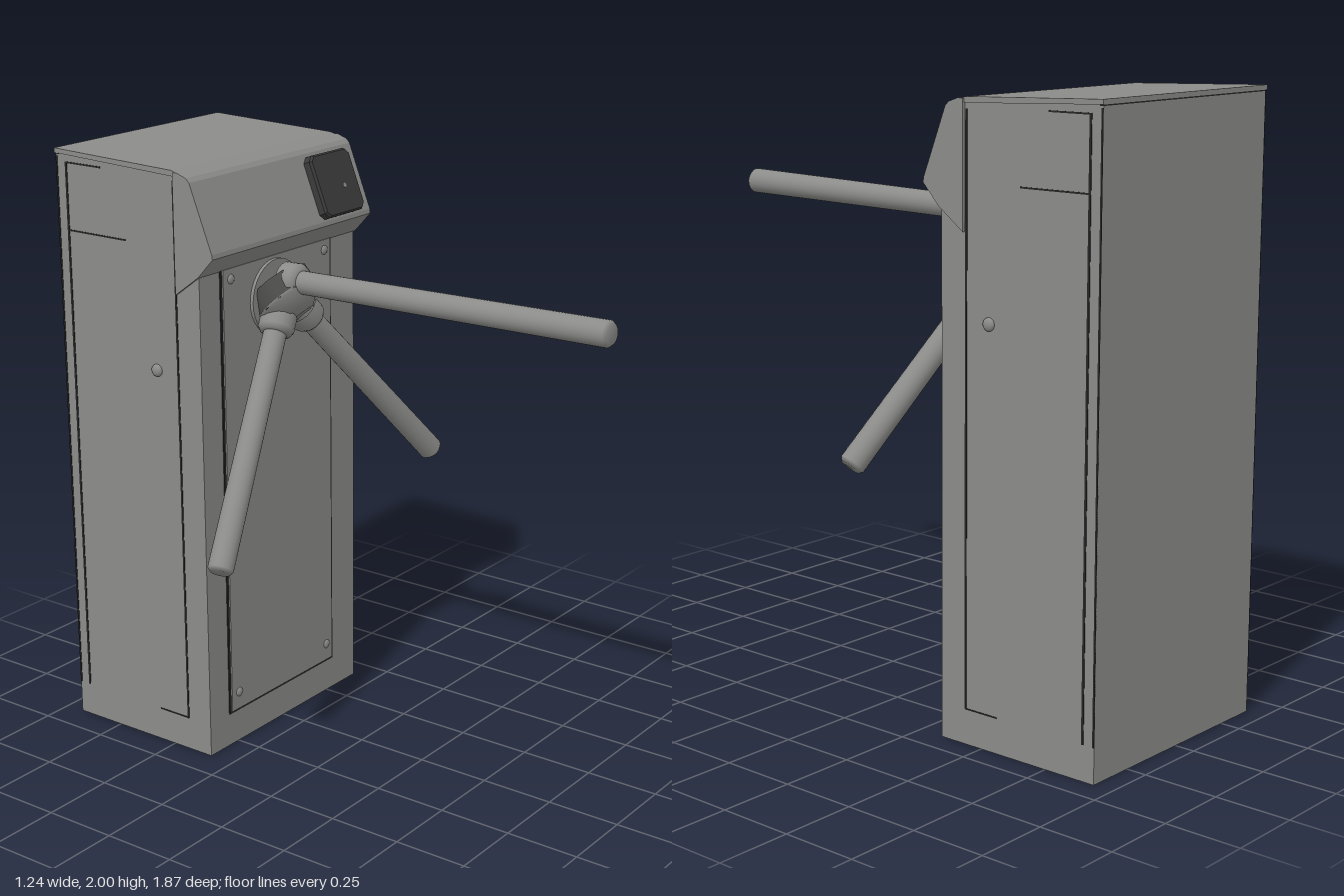
import * as THREE from 'three';

const mat = (name, color) => Object.assign(new THREE.MeshStandardMaterial({ color }), { name });

export function createModel() {
  const root = new THREE.Group();
  const grey = mat('steel grey', 0x8b8b89);
  const dark = mat('dark hub grey', 0x4c4c4b);
  const black = mat('reader black', 0x3a3a3a);
  const seam = mat('seam black', 0x262626);

  const add = (name, geo, material, parent = root) => {
    const m = new THREE.Mesh(geo, material);
    m.name = name;
    parent.add(m);
    return m;
  };
  const box = (name, x0, x1, y0, y1, z0, z1, material) =>
    add(name, new THREE.BoxGeometry(x1 - x0, y1 - y0, z1 - z0), material)
      .position.set((x0 + x1) / 2, (y0 + y1) / 2, (z0 + z1) / 2);
  // Side profile of [z, y] points, extruded from x0 to x1
  const profile = (name, pts, x0, x1, material) => {
    const shape = new THREE.Shape(pts.map(([z, y]) => new THREE.Vector2(z, y)));
    const geo = new THREE.ExtrudeGeometry(shape, { depth: x1 - x0, bevelEnabled: false });
    geo.rotateY(-Math.PI / 2).translate(x1, 0, 0);
    return add(name, geo, material);
  };
  const Y = new THREE.Vector3(0, 1, 0);

  // Cabinet with a slightly rising lid
  profile('cabinet', [[-0.932, 0], [-0.34, 0], [-0.34, 1.75], [-0.42, 1.97], [-0.932, 1.985]], -0.395, 0.415, grey);
  profile('lid', [[-0.935, 1.985], [-0.40, 1.965], [-0.41, 1.978], [-0.44, 1.985], [-0.935, 2.0]], -0.4, 0.42, grey);
  box('lidSeam', -0.397, 0.417, 1.981, 1.986, -0.934, -0.92, seam);

  // Overhanging hood with sloping face
  profile('hood', [[-0.43, 1.59], [-0.335, 1.66], [-0.275, 1.725], [-0.277, 1.74],
    [-0.362, 1.955], [-0.375, 1.968], [-0.41, 1.98], [-0.43, 1.98]], -0.405, 0.425, grey);

  // Front panel with a dark gap around it, and four bolts
  box('panelGap', -0.297, 0.282, 0.115, 1.665, -0.342, -0.337, seam);
  box('frontPanel', -0.288, 0.273, 0.124, 1.66, -0.342, -0.332, grey);
  for (const x of [-0.25, 0.24]) for (const y of [0.185, 1.625]) {
    const bolt = add('panelBolt', new THREE.SphereGeometry(0.016, 12, 8), grey);
    bolt.scale.z = 0.5;
    bolt.position.set(x, y, -0.332);
  }

  // Side door seams, handle slots and locks
  for (const [x, s] of [[0.415, 1], [-0.395, -1]]) {
    const strip = (name, y0, y1, z0, z1) => box(name, x - 0.002, x + 0.002, y0, y1, z0, z1, seam);
    strip('frontSeam', 0.115, 1.95, -0.44, -0.433);
    strip('rearSeam', 0.115, 1.96, -0.893, -0.885);
    strip('rearEdgeSeam', 0.115, 1.975, -0.932, -0.926);
    strip('baseSeam', 0.113, 0.117, -0.56, -0.435);
    strip('sideSlot', 1.733, 1.738, -0.885, -0.64);
    strip('topSeam', 1.955, 1.96, -0.89, -0.74);
    const lock = add('sideLock', new THREE.SphereGeometry(0.021, 16, 12), grey);
    lock.scale.x = 0.6;
    lock.position.set(x + 0.002 * s, 1.325, -0.525);
  }

  // Card reader lying on the sloping face
  const reader = new THREE.Group();
  reader.name = 'cardReader';
  reader.position.set(0.263, 1.848, -0.31);
  reader.rotation.x = -Math.atan2(0.085, 0.215);
  root.add(reader);
  const r = 0.1, c = 0.015, plate = new THREE.Shape();
  plate.moveTo(-r + c, -r).lineTo(r - c, -r).lineTo(r, -r + c).lineTo(r, r - c)
    .lineTo(r - c, r).lineTo(-r + c, r).lineTo(-r, r - c).lineTo(-r, -r + c).closePath();
  const plateGeo = new THREE.ExtrudeGeometry(plate, {
    depth: 0.03, bevelThickness: 0.008, bevelSize: 0.006, bevelSegments: 1,
  });
  plateGeo.translate(0, 0, -0.015);
  add('readerBody', plateGeo, black);
  add('readerLight', new THREE.CylinderGeometry(0.008, 0.008, 0.004, 12).rotateX(Math.PI / 2), grey, reader)
    .position.set(0.025, -0.015, 0.024);
  reader.add(root.getObjectByName('readerBody'));

  // Mounting disc and tilted hub
  add('mountDisc', new THREE.CylinderGeometry(0.125, 0.125, 0.03, 32).rotateX(Math.PI / 2), grey)
    .position.set(-0.03, 1.525, -0.335);
  const hub = new THREE.Group();
  hub.name = 'hub';
  hub.position.set(-0.02, 1.535, -0.305);
  hub.quaternion.setFromUnitVectors(Y, new THREE.Vector3(0, -1, 1).normalize());
  root.add(hub);
  add('hubRim', new THREE.CylinderGeometry(0.115, 0.115, 0.07, 12), dark, hub);
  const cap = [[0.115, 0.03], [0.112, 0.04], [0.065, 0.085], [0, 0.09]].map(([x, y]) => new THREE.Vector2(x, y));
  add('hubCap', new THREE.LatheGeometry(cap, 24), grey, hub);

  // Three barrier arms, each with a collar at the hub
  const arms = [
    ['frontArm', [-0.033, 1.586, -0.28], [-0.042, 1.606, 0.935]],
    ['rightArm', [-0.065, 1.475, -0.285], [-0.598, 0.787, -0.112]],
    ['leftArm', [0.045, 1.475, -0.285], [0.592, 0.862, -0.125]],
  ];
  for (const [name, from, to] of arms) {
    const a = new THREE.Vector3(...from), b = new THREE.Vector3(...to);
    const L = a.distanceTo(b), arm = new THREE.Group();
    arm.name = name;
    arm.position.copy(a);
    arm.quaternion.setFromUnitVectors(Y, b.sub(a).normalize());
    root.add(arm);
    const tube = [[0.038, 0], [0.042, L - 0.012], [0.032, L], [0, L]].map(([x, y]) => new THREE.Vector2(x, y));
    add('armTube', new THREE.LatheGeometry(tube, 24), grey, arm);
    const collar = [[0.06, 0], [0.06, 0.05], [0.05, 0.065], [0.038, 0.068]].map(([x, y]) => new THREE.Vector2(x, y));
    add('armCollar', new THREE.LatheGeometry(collar, 20), grey, arm);
  }
  return root;
}
